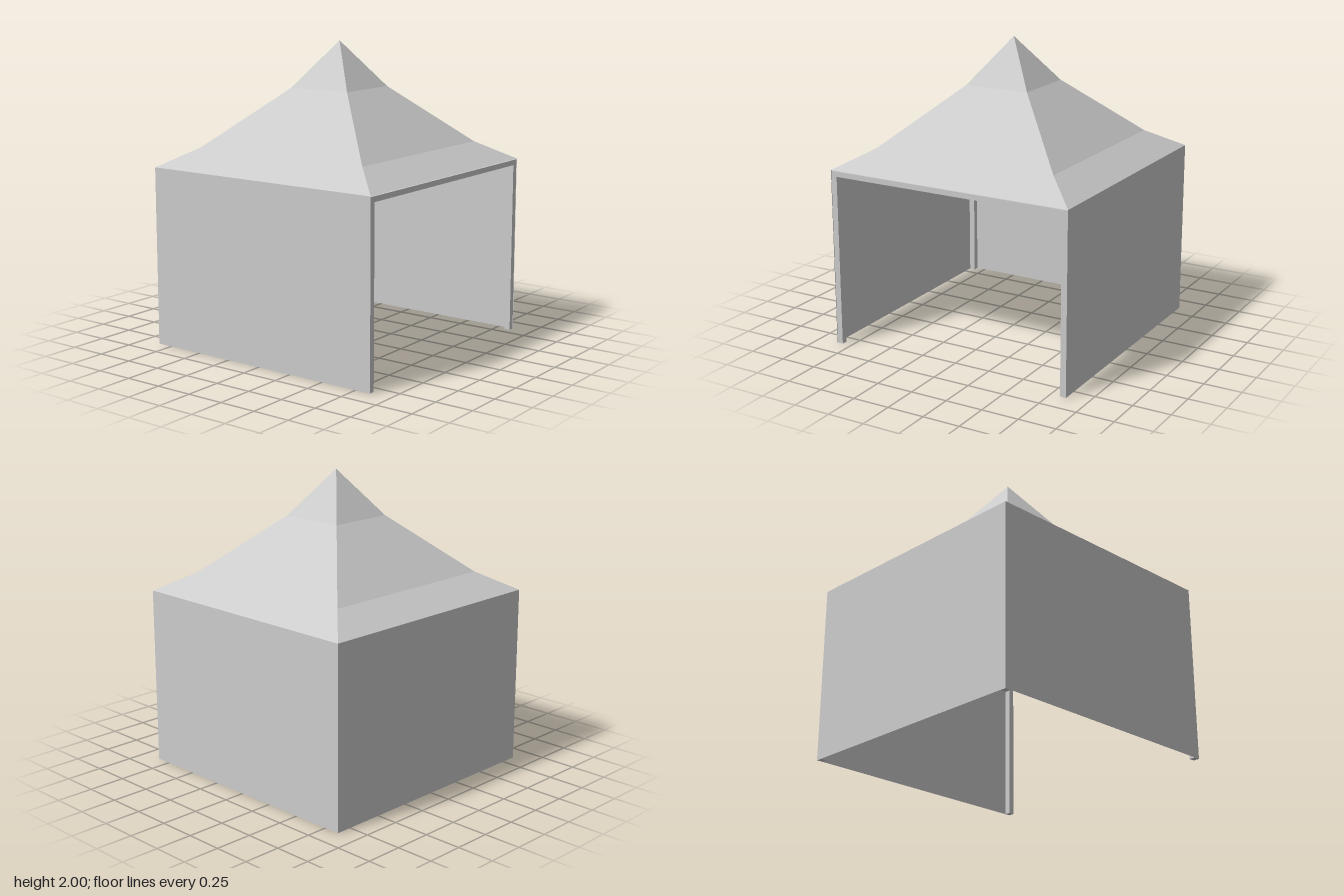
import * as THREE from 'three';

const HALF = 0.857, EAVE = 1.19, BAR = 0.04;

export function createModel() {
  const model = new THREE.Group();
  const frameMat = new THREE.MeshStandardMaterial({ color: 0xcccccc, flatShading: true });
  const clothMat = new THREE.MeshStandardMaterial({ color: 0xcccccc, flatShading: true, side: THREE.DoubleSide });

  const add = (name, geometry, material, x = 0, y = 0, z = 0) => {
    const mesh = new THREE.Mesh(geometry, material);
    mesh.name = name;
    mesh.position.set(x, y, z);
    model.add(mesh);
    return mesh;
  };

  // Square bar running between two points
  const bar = (name, a, b, size) => {
    const mesh = add(name, new THREE.BoxGeometry(size, size, a.distanceTo(b)), frameMat);
    mesh.position.copy(a).lerp(b, 0.5);
    mesh.lookAt(b);
  };

  // Peaked canopy: four-sided, swept inward towards the tip
  const profile = [[HALF, EAVE], [0.645, 1.315], [0.225, 1.695], [0, 2]];
  const points = profile.map(([r, y]) => new THREE.Vector2(r * Math.SQRT2, y));
  const roof = new THREE.LatheGeometry(points, 4, Math.PI / 4).toNonIndexed();
  roof.computeVertexNormals();
  add('canopy', roof, clothMat);

  // Thin cloth walls on three sides, the front stays open
  const wall = new THREE.PlaneGeometry(HALF * 2, EAVE);
  [['leftWall', Math.PI / 2], ['backWall', Math.PI], ['rightWall', -Math.PI / 2]].forEach(([name, turn]) => {
    const mesh = add(name, wall, clothMat, Math.sin(turn) * HALF, EAVE / 2, Math.cos(turn) * HALF);
    mesh.rotation.y = turn;
  });

  // Corner posts and the bent rafters under the canopy hips
  const c = HALF - 0.002 - BAR / 2;
  const rafter = [[0.8, 1.185], [0.645, 1.272], [0.225, 1.645], [0.01, 1.93]];
  for (const sx of [-1, 1]) for (const sz of [-1, 1]) {
    add('post', new THREE.BoxGeometry(BAR, EAVE - 0.005, BAR), frameMat, sx * c, (EAVE - 0.005) / 2, sz * c);
    const path = rafter.map(([r, y]) => new THREE.Vector3(sx * r, y, sz * r));
    for (let i = 0; i < 3; i++) bar('rafter', path[i], path[i + 1], 0.03);
  }

  // Top beams around all four sides
  const beamY = EAVE - 0.005 - 0.0175, span = 2 * c - BAR;
  for (const s of [-1, 1]) {
    add('crossBeam', new THREE.BoxGeometry(span, 0.035, BAR), frameMat, 0, beamY, s * c);
    add('sideBeam', new THREE.BoxGeometry(BAR, 0.035, span), frameMat, s * c, beamY, 0);
  }
  return model;
}
